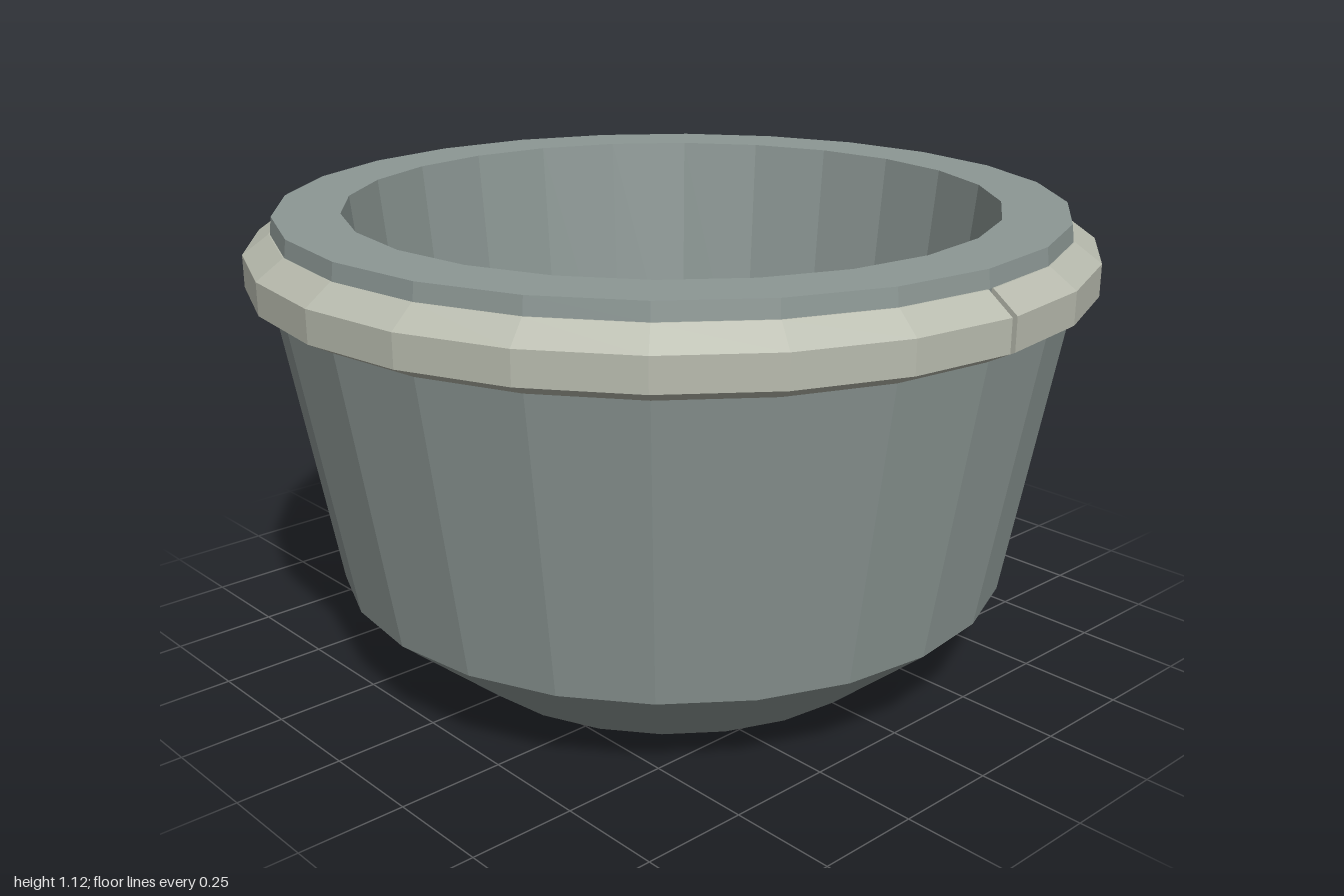
import * as THREE from 'three';

const SIDES = 24;
const STEP = (Math.PI * 2) / SIDES;

// Sweeps a closed (radius, height) section around y through the given angles and caps both ends.
// A section may differ at each stop.
function sweep(stops) {
  const pos = [];
  const at = ([r, y], a) => [r * Math.cos(a), y, r * Math.sin(a)];
  const tri = (...pts) => pts.forEach((p) => pos.push(...p));
  const n = stops[0].section.length;
  for (let i = 0; i < stops.length - 1; i++) {
    const s = stops[i], t = stops[i + 1];
    for (let j = 0; j < n; j++) {
      const k = (j + 1) % n;
      const a = at(s.section[j], s.angle), b = at(s.section[k], s.angle);
      const c = at(t.section[k], t.angle), d = at(t.section[j], t.angle);
      tri(a, b, c);
      tri(a, c, d);
    }
  }
  const first = stops[0], last = stops[stops.length - 1];
  for (let j = 1; j < n - 1; j++) {
    tri(...[0, j + 1, j].map((v) => at(first.section[v], first.angle)));
    tri(...[0, j, j + 1].map((v) => at(last.section[v], last.angle)));
  }
  const g = new THREE.BufferGeometry();
  g.setAttribute('position', new THREE.Float32BufferAttribute(pos, 3));
  g.computeVertexNormals();
  return g;
}

export function createModel() {
  const model = new THREE.Group();
  model.name = 'bowl';
  const bodyMat = new THREE.MeshStandardMaterial({ color: 0x8c9794, flatShading: true });
  const bandMat = new THREE.MeshStandardMaterial({ color: 0xb8bbae, flatShading: true });

  const add = (name, geometry, material) => {
    const mesh = new THREE.Mesh(geometry, material);
    mesh.name = name;
    model.add(mesh);
  };

  // Hollow body: foot, bevel, outer wall, rim, inner wall, sloping floor
  const profile = [
    [0, 0], [0.56, 0], [0.82, 0.22], [0.943, 0.93], [0.925, 0.95], [0.935, 1.08], [0.93, 1.12],
    [0.775, 1.12], [0.69, 0.33], [0.19, 0.2], [0, 0.2],
  ].map(([r, y]) => new THREE.Vector2(r, y));
  add('body', new THREE.LatheGeometry(profile, SIDES), bodyMat);

  // Rim band in two arcs, with a thin slit on one side and a broken-out gap on the other
  const band = [[0.92, 0.93], [0.943, 0.93], [1, 0.96], [1, 1.035], [0.938, 1.08], [0.92, 1.08]];
  const arc = (from, to, trimStart, trimEnd) => {
    const stops = [];
    for (let i = from; i <= to; i++) {
      const trim = i === from ? trimStart : i === to ? -trimEnd : 0;
      stops.push({ angle: i * STEP + trim, section: band });
    }
    return sweep(stops);
  };
  const slit = 0.008;
  add('frontBand', arc(0, 12, slit, 0), bandMat);
  add('backBand', arc(13, 24, 0, slit), bandMat);

  // Splinter left in the gap, tapering to a point
  const root = [[0.925, 0.935], [0.943, 0.93], [1, 0.96], [0.93, 1.02]];
  const tip = root.map(() => [0.955, 0.965]);
  add('bandSplinter', sweep([
    { angle: Math.PI, section: root },
    { angle: Math.PI + 0.17, section: tip },
  ]), bandMat);

  return model;
}
